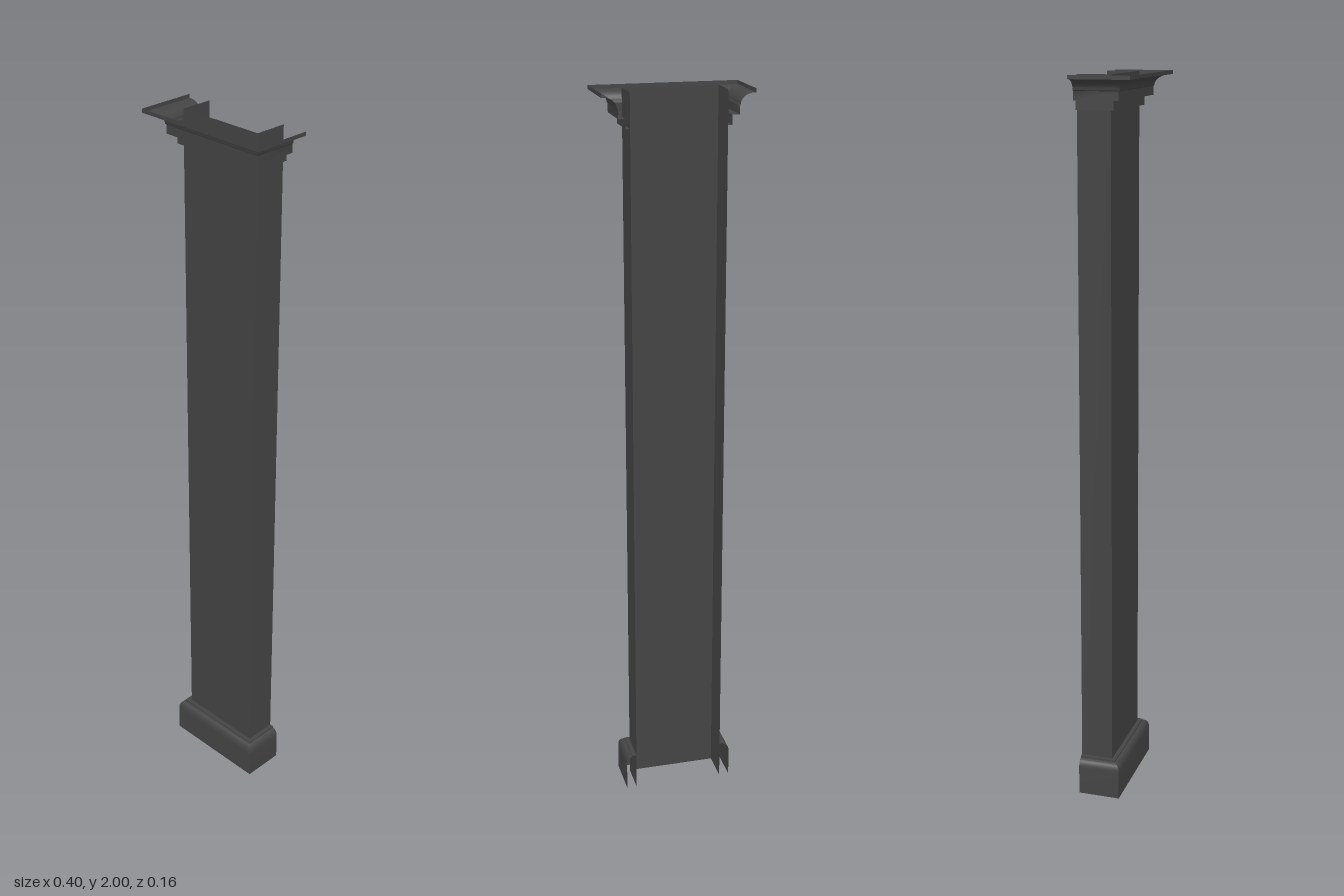
import * as THREE from 'three';
import { toCreasedNormals } from 'three/addons/utils/BufferGeometryUtils.js';

const HALF = 0.126, FRONT = 0.01, BACK = -0.08;

// Mitred sweep of an [offset, y] profile around the left, front and right of the shaft
function sweep(profile) {
  const ring = ([o, y]) => [
    [-HALF - o, y, BACK], [-HALF - o, y, FRONT + o],
    [HALF + o, y, FRONT + o], [HALF + o, y, BACK],
  ];
  const pos = [];
  for (let i = 0; i < profile.length - 1; i++) {
    const low = ring(profile[i]), high = ring(profile[i + 1]);
    for (let j = 0; j < 3; j++) {
      const a = low[j], b = low[j + 1], c = high[j + 1], d = high[j];
      pos.push(...a, ...b, ...c, ...a, ...c, ...d);
    }
  }
  const geometry = new THREE.BufferGeometry();
  geometry.setAttribute('position', new THREE.Float32BufferAttribute(pos, 3));
  return toCreasedNormals(geometry, 0.6);
}

// Quarter-ellipse points between two angles
function arc(cx, cy, rx, ry, from, to, steps = 6) {
  return Array.from({ length: steps + 1 }, (_, i) => {
    const t = from + (to - from) * i / steps;
    return [cx + rx * Math.cos(t), cy + ry * Math.sin(t)];
  });
}

export function createModel() {
  const group = new THREE.Group();
  const material = new THREE.MeshStandardMaterial({ color: 0x444444, side: THREE.DoubleSide });
  const add = (name, profile) => {
    const mesh = new THREE.Mesh(sweep(profile), material);
    mesh.name = name;
    group.add(mesh);
  };

  // Three-sided shaft, open at the back
  add('shaft', [[0, 0], [0, 2]]);

  // Plinth with a rounded shoulder and a small ledge
  add('base', [[0.028, 0], ...arc(0.012, 0.08, 0.016, 0.024, 0, Math.PI / 2), [0.012, 0.108], [0, 0.108]]);

  // Stepped crown with a cove, open on top
  add('crown', [
    [0, 1.912], [0.011, 1.912], [0.011, 1.937], [0.03, 1.937], [0.03, 1.96],
    ...arc(0.068, 1.962, 0.036, 0.028, Math.PI, Math.PI / 2),
    [0.072, 1.99], [0.072, 2],
  ]);

  return group;
}
